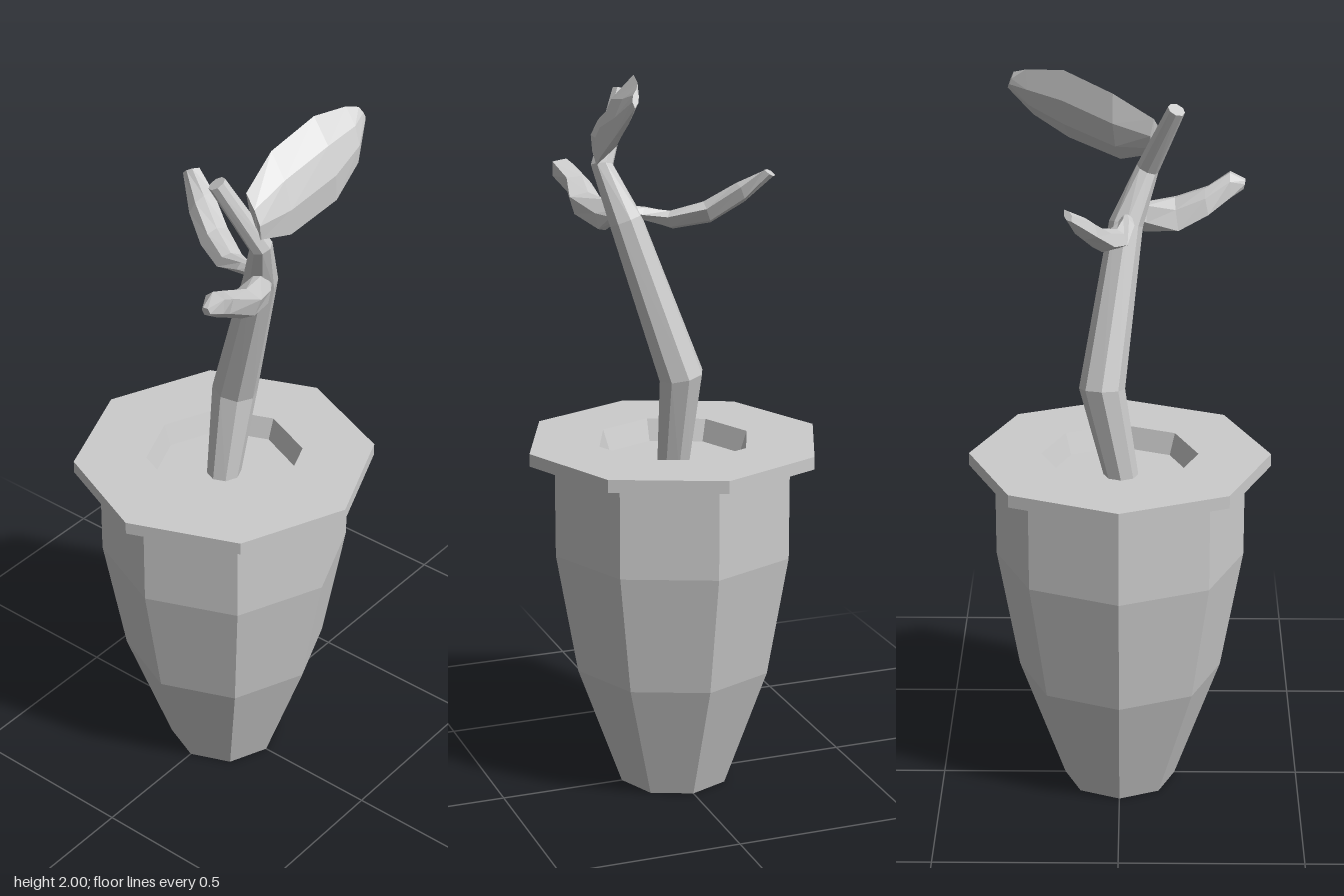
import * as THREE from 'three';

const material = new THREE.MeshStandardMaterial({ color: 0xcccccc, flatShading: true });

function addMesh(group, name, geometry) {
  const mesh = new THREE.Mesh(geometry, material);
  mesh.name = name;
  group.add(mesh);
}

// Octagonal turned part from [radius, height] pairs
function turned(profile) {
  return new THREE.LatheGeometry(profile.map(([r, y]) => new THREE.Vector2(r, y)), 8);
}

// Closed skin over equal-sized rings, each running clockwise seen from the far end
function loft(rings) {
  const n = rings[0].length, index = [];
  for (let s = 0; s < rings.length - 1; s++) {
    for (let i = 0; i < n; i++) {
      const a = s * n + i, b = s * n + (i + 1) % n;
      index.push(a, a + n, b + n, a, b + n, b);
    }
  }
  const last = (rings.length - 1) * n;
  for (let i = 1; i < n - 1; i++) {
    index.push(0, i, i + 1, last, last + i + 1, last + i);
  }
  const geometry = new THREE.BufferGeometry().setFromPoints(rings.flat());
  geometry.setIndex(index);
  geometry.computeVertexNormals();
  return geometry;
}

// Bent tapering stem from [x, y, z, radius] stations
function stemGeometry(stations) {
  const centres = stations.map(([x, y, z]) => new THREE.Vector3(x, y, z));
  const up = new THREE.Vector3(0, 1, 0);
  return loft(stations.map(([, , , r], s) => {
    const after = centres[Math.min(s + 1, centres.length - 1)];
    const before = centres[Math.max(s - 1, 0)];
    const turn = new THREE.Quaternion().setFromUnitVectors(up, after.clone().sub(before).normalize());
    return Array.from({ length: 8 }, (_, i) => {
      const a = i * Math.PI / 4;
      return new THREE.Vector3(r * Math.cos(a), 0, r * Math.sin(a)).applyQuaternion(turn).add(centres[s]);
    });
  }));
}

// Leaf from stations of [one edge, other edge, half thickness]
function leafGeometry(stations) {
  const edges = stations.map(([l, r, t]) => ({ l: new THREE.Vector3(...l), r: new THREE.Vector3(...r), t }));
  const mids = edges.map(({ l, r }) => l.clone().lerp(r, 0.5));
  return loft(edges.map(({ l, r, t }, s) => {
    const along = mids[Math.min(s + 1, mids.length - 1)].clone().sub(mids[Math.max(s - 1, 0)]);
    const normal = along.cross(r.clone().sub(l)).normalize();
    const point = (f, side) => l.clone().lerp(r, f).addScaledVector(normal, side * t);
    return [l, point(0.35, 1), point(0.7, 1), r, point(0.7, -1), point(0.35, -1)];
  }));
}

export function createModel() {
  const model = new THREE.Group();
  model.name = 'pottedSeedling';

  // Pot body, flat rim and sunken soil
  addMesh(model, 'pot', turned([[0, 0], [0.155, 0], [0.28, 0.345], [0.34, 0.685], [0.34, 0.945]]));
  addMesh(model, 'rim', turned([[0.34, 0.945], [0.41, 0.945], [0.41, 0.98], [0.213, 0.98], [0.193, 0.92]]));
  addMesh(model, 'soil', turned([[0.193, 0.92], [0, 0.92]]));

  // Stem
  addMesh(model, 'stem', stemGeometry([
    [0, 0.91, 0.005, 0.046],
    [-0.003, 1.17, -0.048, 0.062],
    [0.13, 1.59, 0.015, 0.046],
    [0.175, 1.73, 0.072, 0.031],
    [0.095, 1.912, 0.147, 0.024],
  ]));

  // Large leaf reaching up and back
  addMesh(model, 'upperLeaf', leafGeometry([
    [[0.165, 1.75, 0.08], [0.19, 1.725, 0.07], 0.012],
    [[0.14, 1.875, 0.088], [0.195, 1.765, 0.092], 0.022],
    [[0.133, 1.945, -0.02], [0.215, 1.745, 0.0], 0.03],
    [[0.165, 2.0, -0.15], [0.25, 1.795, -0.14], 0.03],
    [[0.19, 1.995, -0.25], [0.245, 1.86, -0.235], 0.02],
    [[0.205, 1.985, -0.283], [0.215, 1.94, -0.3], 0.008],
  ]));

  // Long curved leaf on the right
  addMesh(model, 'sideLeaf', leafGeometry([
    [[0.13, 1.62, 0.0], [0.115, 1.61, 0.035], 0.014],
    [[0.09, 1.605, -0.005], [0.07, 1.605, 0.038], 0.016],
    [[0.03, 1.6, -0.035], [-0.01, 1.575, 0.02], 0.022],
    [[-0.06, 1.625, -0.085], [-0.09, 1.595, -0.012], 0.027],
    [[-0.14, 1.685, -0.125], [-0.165, 1.645, -0.055], 0.024],
    [[-0.2, 1.73, -0.14], [-0.24, 1.71, -0.12], 0.009],
  ]));

  // Crumpled leaf on the front
  addMesh(model, 'frontLeaf', leafGeometry([
    [[0.13, 1.61, 0.03], [0.17, 1.6, 0.02], 0.015],
    [[0.14, 1.59, 0.07], [0.2, 1.605, 0.06], 0.04],
    [[0.13, 1.57, 0.155], [0.24, 1.635, 0.15], 0.035],
    [[0.145, 1.61, 0.235], [0.22, 1.67, 0.235], 0.03],
    [[0.175, 1.65, 0.295], [0.24, 1.705, 0.295], 0.03],
    [[0.205, 1.665, 0.33], [0.22, 1.69, 0.335], 0.012],
  ]));

  return model;
}
